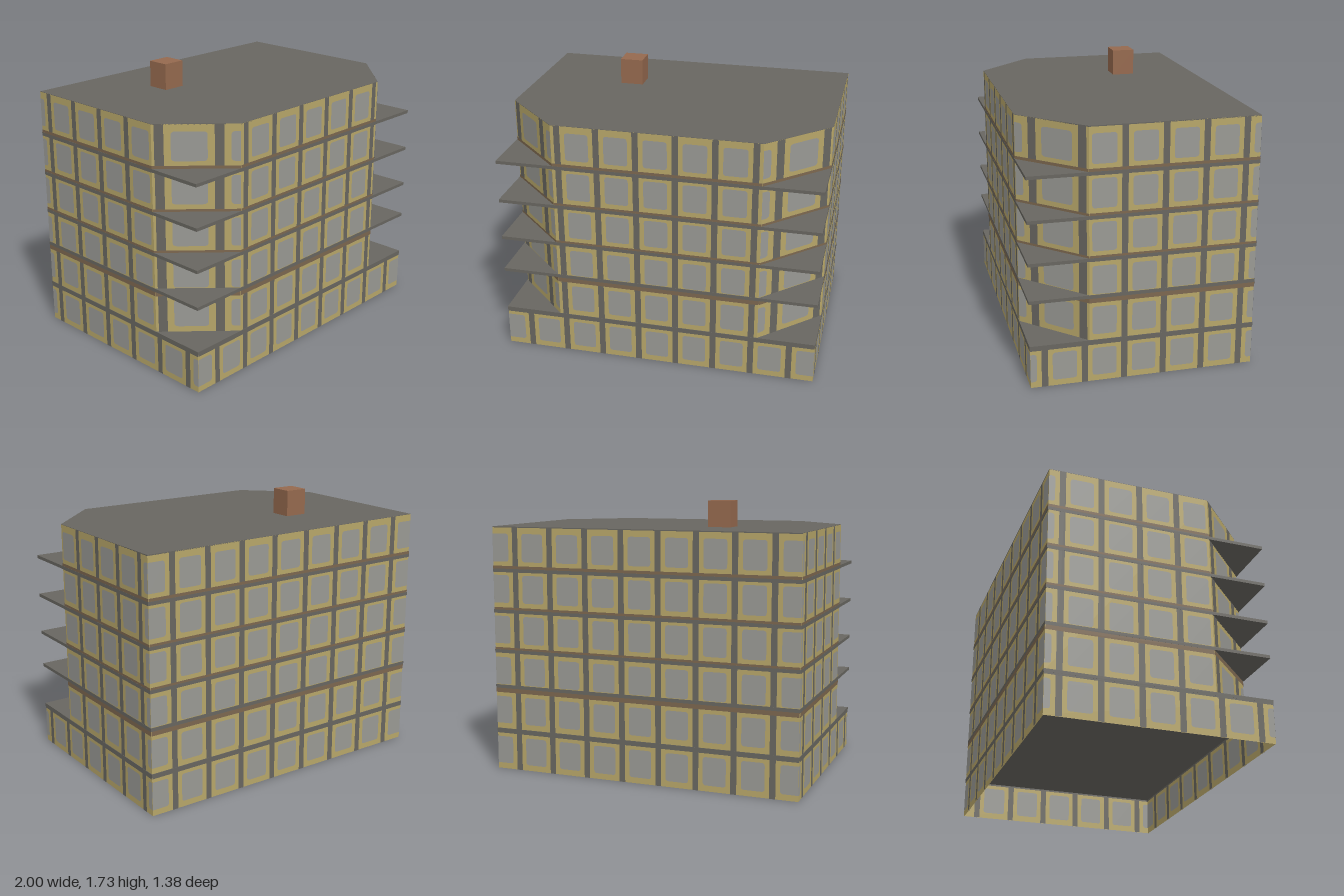
import * as THREE from 'three';

const mat = (name, color) => {
  const m = new THREE.MeshStandardMaterial({ color, side: THREE.DoubleSide });
  m.name = name;
  return m;
};

const X = 0.997, Z = 0.685;      // wall planes
const CUT_X = 0.64, CUT_Z = 0.33; // where the front corners are cut off
const TOP = 1.56, GROUND = 0.255;
const BAY = 0.24;

const WINDOW_ROWS = [0.125, 0.39, 0.645, 0.91, 1.17, 1.43];
const SLABS = [0.257, 0.543, 0.772, 1.028, 1.288];
const BROWN_BANDS = [[0.503, 0.533], [0.782, 0.796], [1.038, 1.053], [1.298, 1.316]];

function rectShape(x0, x1, y0, y1, r = 0) {
  const s = new THREE.Shape();
  if (!r) {
    s.moveTo(x0, y0).lineTo(x1, y0).lineTo(x1, y1).lineTo(x0, y1);
    return s;
  }
  s.moveTo(x0 + r, y0).lineTo(x1 - r, y0).quadraticCurveTo(x1, y0, x1, y0 + r);
  s.lineTo(x1, y1 - r).quadraticCurveTo(x1, y1, x1 - r, y1);
  s.lineTo(x0 + r, y1).quadraticCurveTo(x0, y1, x0, y1 - r);
  s.lineTo(x0, y0 + r).quadraticCurveTo(x0, y0, x0 + r, y0);
  return s;
}

export function createModel() {
  const model = new THREE.Group();
  model.name = 'apartmentBlock';
  const plaster = mat('yellow plaster', 0xb7a669);
  const concrete = mat('grey concrete', 0x686660);
  const glass = mat('window grey', 0x999994);
  const brown = mat('brown band', 0x7c674f);
  const brick = mat('chimney brick', 0x95694e);

  const add = (parent, name, geometry, material) => {
    const mesh = new THREE.Mesh(geometry, material);
    mesh.name = name;
    parent.add(mesh);
    return mesh;
  };

  // Wall from a to b (left to right as seen), carrying bays u0..u1 of the grid
  function facade(name, a, b, u0, u1, y0, y1) {
    const wall = new THREE.Group();
    wall.name = name;
    const dx = b[0] - a[0], dz = b[1] - a[1];
    wall.position.set(a[0], 0, a[1]);
    wall.rotation.y = Math.atan2(-dz, dx);
    const stretch = Math.hypot(dx, dz) / (u1 - u0);

    const plate = (part, shapes, material, offset) => {
      if (!shapes.length) return;
      const g = new THREE.ShapeGeometry(shapes, 4);
      const p = g.attributes.position;
      for (let i = 0; i < p.count; i++) {
        const u = THREE.MathUtils.clamp(p.getX(i), u0, u1);
        p.setXYZ(i, (u - u0) * stretch, p.getY(i), offset);
      }
      add(wall, part, g, material);
    };

    const posts = [], panes = [];
    for (let k = -5; k <= 5; k++) {
      const c = k * BAY, m = c + BAY / 2;
      if (m + 0.019 > u0 && m - 0.019 < u1) posts.push(rectShape(m - 0.019, m + 0.019, y0, y1));
      if (c + 0.073 <= u0 || c - 0.073 >= u1) continue;
      for (const y of WINDOW_ROWS) {
        if (y > y0 && y < y1) panes.push(rectShape(c - 0.073, c + 0.073, y - 0.088, y + 0.088, 0.02));
      }
    }
    plate('plaster', [rectShape(u0, u1, y0, y1)], plaster, 0);
    plate('mullions', posts, concrete, 0.0015);
    plate('windows', panes, glass, 0.0015);
    plate('brownBands', BROWN_BANDS.filter(r => r[0] > y0 && r[1] < y1)
      .map(r => rectShape(u0, u1, r[0], r[1])), brown, 0.0025);
    const edges = SLABS.map(y => [y - 0.012, y + 0.01]);
    edges[0] = [0.236, 0.255];
    plate('floorEdges', edges.filter(r => r[0] >= y0 && r[1] <= y1)
      .map(r => rectShape(u0, u1, r[0], r[1])), concrete, 0.0028);
    model.add(wall);
  }

  // Ground floor: four walls, finished on the inside too, open below
  const corners = [[-X, Z], [X, Z], [X, -Z], [-X, -Z]];
  const sides = ['front', 'left', 'back', 'right'];
  const inset = 0.004;
  sides.forEach((side, i) => {
    const a = corners[i], b = corners[(i + 1) % 4];
    const half = i % 2 ? Z : X;
    facade(side + 'GroundWall', a, b, -half, half, 0, GROUND);
    const inner = ([x, z]) => [x - Math.sign(x) * inset, z - Math.sign(z) * inset];
    facade(side + 'GroundLining', inner(b), inner(a), -half, half, 0, GROUND);
  });

  // Upper floors with cut front corners
  facade('frontWall', [-CUT_X, Z], [CUT_X, Z], -CUT_X, CUT_X, GROUND, TOP);
  facade('leftCornerWall', [CUT_X, Z], [X, CUT_Z], -Z, -CUT_Z, GROUND, TOP);
  facade('leftWall', [X, CUT_Z], [X, -Z], -CUT_Z, Z, GROUND, TOP);
  facade('backWall', [X, -Z], [-X, -Z], -X, X, GROUND, TOP);
  facade('rightWall', [-X, -Z], [-X, CUT_Z], -Z, CUT_Z, GROUND, TOP);
  facade('rightCornerWall', [-X, CUT_Z], [-CUT_X, Z], CUT_Z, Z, GROUND, TOP);

  // Floor slabs, forming balconies at the cut corners
  SLABS.forEach((y, i) => {
    const slab = add(model, 'floorSlab' + (i + 1), new THREE.BoxGeometry(2, 0.02, 1.376), concrete);
    slab.position.y = y;
  });

  // Flat roof following the cut corners
  const outline = [[-X, -Z], [X, -Z], [X, CUT_Z], [CUT_X, Z], [-CUT_X, Z], [-X, CUT_Z]]
    .map(([x, z]) => new THREE.Vector2(x, -z));
  const roof = new THREE.ExtrudeGeometry(new THREE.Shape(outline), { depth: 0.006, bevelEnabled: false });
  roof.rotateX(-Math.PI / 2);
  add(model, 'roof', roof, concrete).position.y = TOP - 0.004;

  // Chimney
  const chimney = add(model, 'chimney', new THREE.BoxGeometry(0.145, 0.17, 0.14), brick);
  chimney.position.set(-0.367, 1.64, -0.214);

  return model;
}
